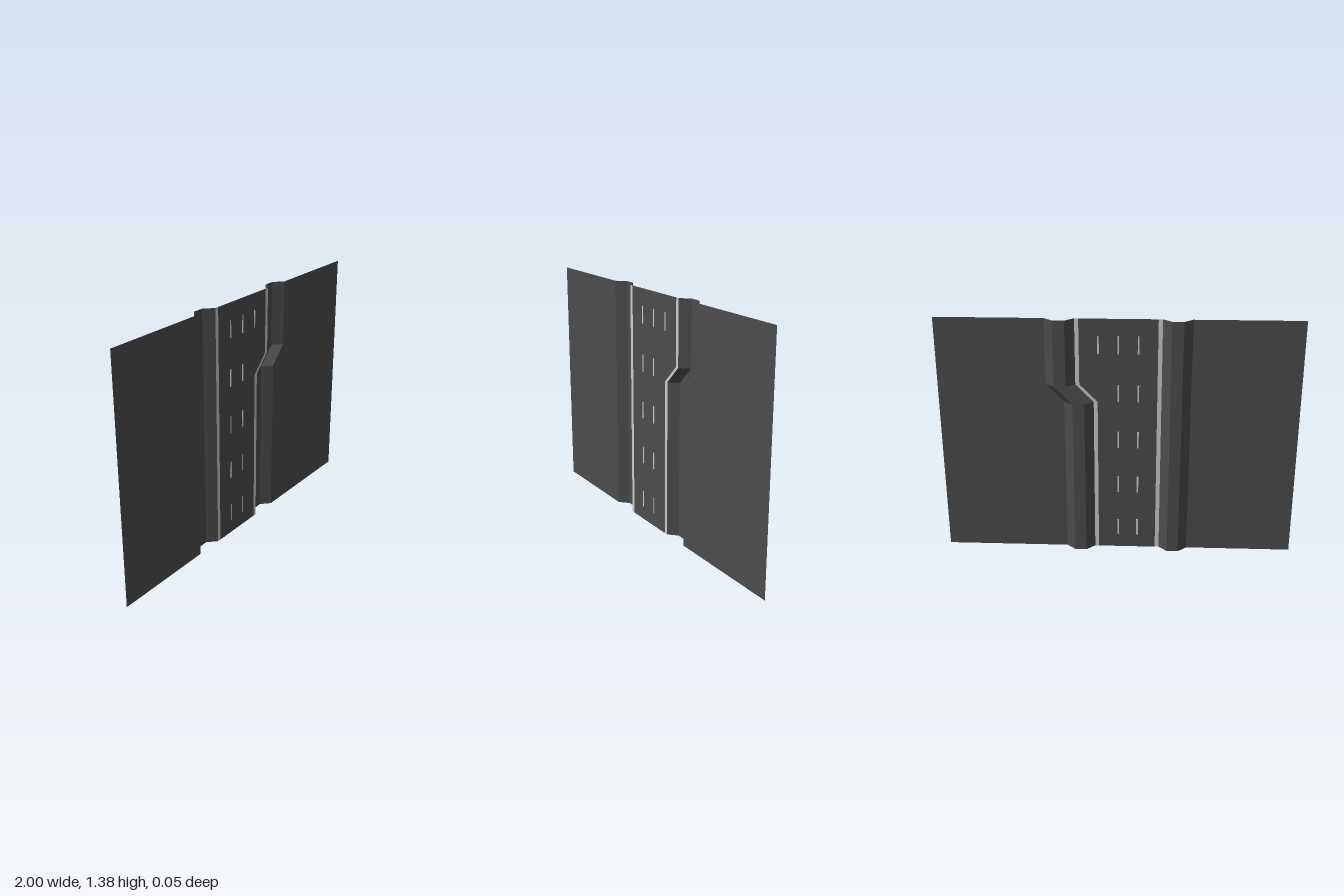
import * as THREE from 'three';

const HEIGHT = 1.375;
const FRONT = 0.024, BACK = -0.024; // road level and ditch floor

const asphalt = new THREE.MeshStandardMaterial({ color: 0x4b4c4b, side: THREE.DoubleSide, flatShading: true });
const paint = new THREE.MeshStandardMaterial({ color: 0xcccccc, side: THREE.DoubleSide, flatShading: true });

// Heights at which the widening right edge bends, and its sideways shift there
const ROWS = [[0, 0], [0.904, 0], [1.005, 0.1], [HEIGHT, 0.1]];

// One long strip between two profile points [x, z, follows the bend]
function strip(name, a, b, material) {
  const positions = [], indices = [];
  ROWS.forEach(([y, shift], i) => {
    for (const [x, z, bends] of [a, b]) positions.push(x + (bends ? shift : 0), y, z);
    if (i > 0) {
      const k = 2 * (i - 1);
      indices.push(k, k + 1, k + 3, k, k + 3, k + 2);
    }
  });
  const geometry = new THREE.BufferGeometry();
  geometry.setAttribute('position', new THREE.Float32BufferAttribute(positions, 3));
  geometry.setIndex(indices);
  geometry.computeVertexNormals();
  const mesh = new THREE.Mesh(geometry, material);
  mesh.name = name;
  return mesh;
}

export function createModel() {
  const group = new THREE.Group();
  group.name = 'roadSection';

  // Cross-section from one side to the other; each name belongs to the strip that follows
  const profile = [
    [-1, FRONT, false, 'rightGround'],
    [-0.4, FRONT, false, 'rightDitchOuterSlope'],
    [-0.35, BACK, false, 'rightDitchFloor'],
    [-0.286, BACK, false, 'rightDitchInnerSlope'],
    [-0.238, FRONT, false, 'rightEdgeLine'],
    [-0.215, FRONT, false, 'roadway'],
    [0.114, FRONT, true, 'leftEdgeLine'],
    [0.136, FRONT, true, 'leftDitchInnerSlope'],
    [0.185, BACK, true, 'leftDitchFloor'],
    [0.25, BACK, true, 'leftDitchOuterSlope'],
    [0.3, FRONT, true, 'leftGround'],
    [1, FRONT, false],
  ];
  for (let i = 0; i < profile.length - 1; i++) {
    const name = profile[i][3];
    group.add(strip(name, profile[i], profile[i + 1], name.endsWith('Line') ? paint : asphalt));
  }

  // Dashed lane markings, showing on both faces; the third lane line starts after the widening
  const dashes = new THREE.Group();
  dashes.name = 'laneDashes';
  const dashGeometry = new THREE.BoxGeometry(0.01, 0.1, 0.002);
  for (let row = 0; row < 5; row++) {
    for (const x of row === 4 ? [-0.11, 0, 0.11] : [-0.11, 0]) {
      const dash = new THREE.Mesh(dashGeometry, paint);
      dash.name = 'laneDash';
      dash.position.set(x, 0.13 + row * 0.275, FRONT);
      dashes.add(dash);
    }
  }
  group.add(dashes);
  return group;
}
